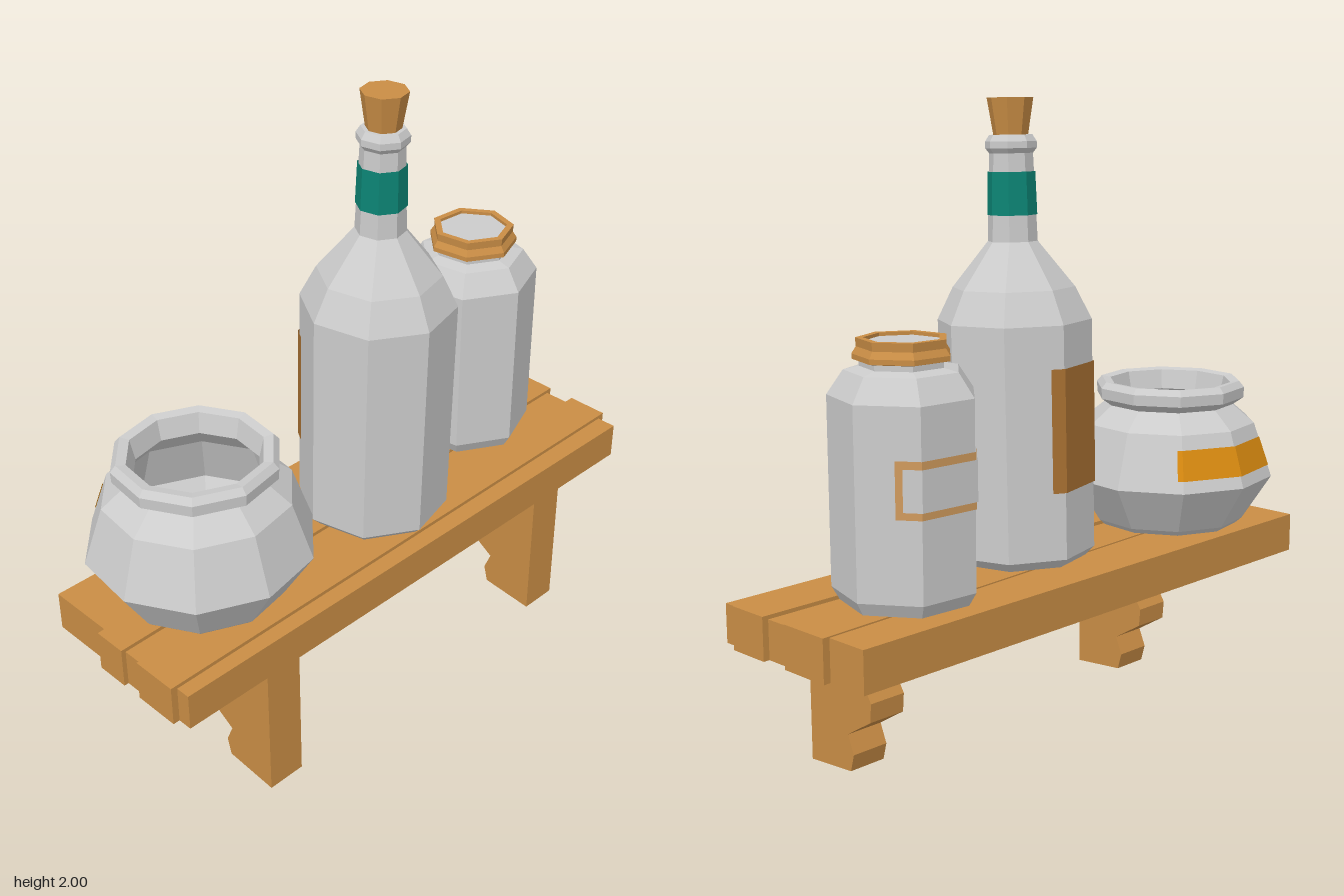
import * as THREE from 'three';

const RAD = Math.PI / 180;

function paint(color, side = THREE.FrontSide) {
  return new THREE.MeshStandardMaterial({ color, flatShading: true, side });
}
const glass = paint(0xcccccc);
const wood = paint(0xc98d45);
const teal = paint(0x0c8474, THREE.DoubleSide);
const brown = paint(0xa87032, THREE.DoubleSide);
const orange = paint(0xd98a10, THREE.DoubleSide);
const tan = paint(0xd09a5c, THREE.DoubleSide);
const paper = paint(0xcccccc, THREE.DoubleSide);

function add(parent, name, geometry, material) {
  const mesh = new THREE.Mesh(geometry, material);
  mesh.name = name;
  parent.add(mesh);
  return mesh;
}

// Faceted turned body: profile of [radius, height], corner offset in degrees
function turned(profile, sides, offset) {
  const points = profile.map(([r, y]) => new THREE.Vector2(r, y));
  return new THREE.LatheGeometry(points, sides, offset * RAD, Math.PI * 2);
}

// Sticker that follows the facets of a turned body between two angles
function sticker(sides, offset, from, to, [r0, y0], [r1, y1]) {
  const step = 360 / sides;
  const angles = [from];
  for (let a = offset; a < to; a += step) if (a > from) angles.push(a);
  angles.push(to);
  const positions = [], index = [];
  angles.forEach((a, i) => {
    const within = (((a - offset) % step) + step) % step;
    const k = Math.cos(step / 2 * RAD) / Math.cos((within - step / 2) * RAD);
    const s = Math.sin(a * RAD) * k, c = Math.cos(a * RAD) * k;
    positions.push(r0 * s, y0, r0 * c, r1 * s, y1, r1 * c);
    if (i) {
      const p = 2 * i - 2;
      index.push(p, p + 2, p + 1, p + 2, p + 3, p + 1);
    }
  });
  const g = new THREE.BufferGeometry();
  g.setAttribute('position', new THREE.Float32BufferAttribute(positions, 3));
  g.setIndex(index);
  g.computeVertexNormals();
  return g;
}

// Plank whose edges run to different depths at its two ends
function plank({ left, right, top }) {
  const g = new THREE.BoxGeometry(1, 1, 1);
  const p = g.attributes.position;
  for (let i = 0; i < p.count; i++) {
    const end = p.getX(i) < 0 ? left : right;
    const z = p.getZ(i) < 0 ? end[1] : end[2];
    p.setXYZ(i, end[0], p.getY(i) < 0 ? 0.45 : top, z);
  }
  g.computeVertexNormals();
  return g;
}

function makeShelf() {
  const shelf = new THREE.Group();
  shelf.name = 'shelf';
  shelf.rotation.y = -0.0415;

  // each end: x, back edge, front edge
  [
    { left: [-0.963, -0.28, -0.05], right: [0.967, -0.28, -0.14], top: 0.578 },
    { left: [-0.99, -0.05, 0.06], right: [0.99, -0.14, 0.03], top: 0.582 },
    { left: [-0.975, 0.06, 0.13], right: [0.972, 0.03, 0.125], top: 0.57 },
    { left: [-0.99, 0.13, 0.283], right: [0.992, 0.125, 0.265], top: 0.582 },
    { left: [-0.968, 0.283, 0.33], right: [0.968, 0.265, 0.332], top: 0.57 },
  ].forEach((spec, i) => add(shelf, 'plank' + (i + 1), plank(spec), wood));

  // scalloped brackets
  const outline = [[0.33, 0], [0.33, 0.452], [-0.068, 0.452], [-0.045, 0.365], [0.092, 0.33],
    [0.045, 0.255], [0.05, 0.195], [0.155, 0.13], [0.13, 0.07], [0.145, 0.015]];
  const shape = new THREE.Shape(outline.map(([z, y]) => new THREE.Vector2(z, y)));
  const width = 0.128;
  for (const side of [-1, 1]) {
    const g = new THREE.ExtrudeGeometry(shape, { depth: width, bevelEnabled: false });
    g.rotateY(-Math.PI / 2);
    g.translate(side * 0.61 + width / 2, 0, 0);
    add(shelf, side > 0 ? 'leftBracket' : 'rightBracket', g, wood);
  }
  return shelf;
}

function makeBottle() {
  const bottle = new THREE.Group();
  bottle.name = 'bottle';
  const turn = 35;
  add(bottle, 'bottleBody', turned([[0, 0], [0.21, 0], [0.24, 0.03], [0.24, 0.75], [0.19, 0.85],
    [0.077, 0.99], [0.067, 1.255], [0.079, 1.27], [0.079, 1.29], [0.066, 1.31], [0, 1.31]], 8, turn), glass);
  add(bottle, 'neckBand', turned([[0.077, 1.07], [0.073, 1.2]], 8, turn), teal);
  add(bottle, 'cork', turned([[0, 1.29], [0.05, 1.29], [0.071, 1.42], [0, 1.42]], 8, turn), wood);
  add(bottle, 'bottleLabel', sticker(8, turn, 160, 225, [0.245, 0.24], [0.245, 0.62]), brown);
  bottle.position.set(0.043, 0.58, 0.055);
  bottle.rotation.x = 0.022;
  return bottle;
}

function makeJar() {
  const jar = new THREE.Group();
  jar.name = 'jar';
  const turn = 45;
  add(jar, 'jarBody', turned([[0, 0.585], [0.195, 0.585], [0.218, 0.625], [0.218, 1.185], [0.17, 1.255],
    [0.125, 1.265], [0.125, 1.3]], 7, turn), glass);
  add(jar, 'lidRing', turned([[0.12, 1.28], [0.145, 1.285], [0.145, 1.3], [0.132, 1.32], [0.134, 1.345],
    [0.112, 1.345], [0.112, 1.325]], 7, turn), wood);
  add(jar, 'lidDisc', turned([[0.115, 1.335], [0, 1.335]], 7, turn), glass);
  add(jar, 'labelFrame', sticker(7, turn, 128, 215, [0.222, 0.87], [0.222, 1.035]), tan);
  add(jar, 'labelCentre', sticker(7, turn, 134, 209, [0.226, 0.892], [0.226, 1.013]), paper);
  jar.position.set(0.604, 0, -0.02);
  return jar;
}

function makePot() {
  const pot = new THREE.Group();
  pot.name = 'pot';
  const turn = 27;
  // outer wall, rolled rim, then the hollow inside
  add(pot, 'potBody', turned([[0, 0.582], [0.235, 0.582], [0.255, 0.6], [0.35, 0.75], [0.288, 0.93],
    [0.215, 0.99], [0.25, 1.015], [0.252, 1.05], [0.235, 1.07], [0.205, 1.065], [0.19, 1],
    [0.265, 0.92], [0.325, 0.75], [0.235, 0.61], [0, 0.61]], 10, turn), glass);
  add(pot, 'potLabel', sticker(10, turn, 132, 206, [0.342, 0.79], [0.309, 0.885]), orange);
  pot.position.set(-0.62, 0, -0.035);
  return pot;
}

export function createModel() {
  const model = new THREE.Group();
  model.name = 'shelfWithJars';
  model.add(makeShelf(), makeBottle(), makeJar(), makePot());
  return model;
}
